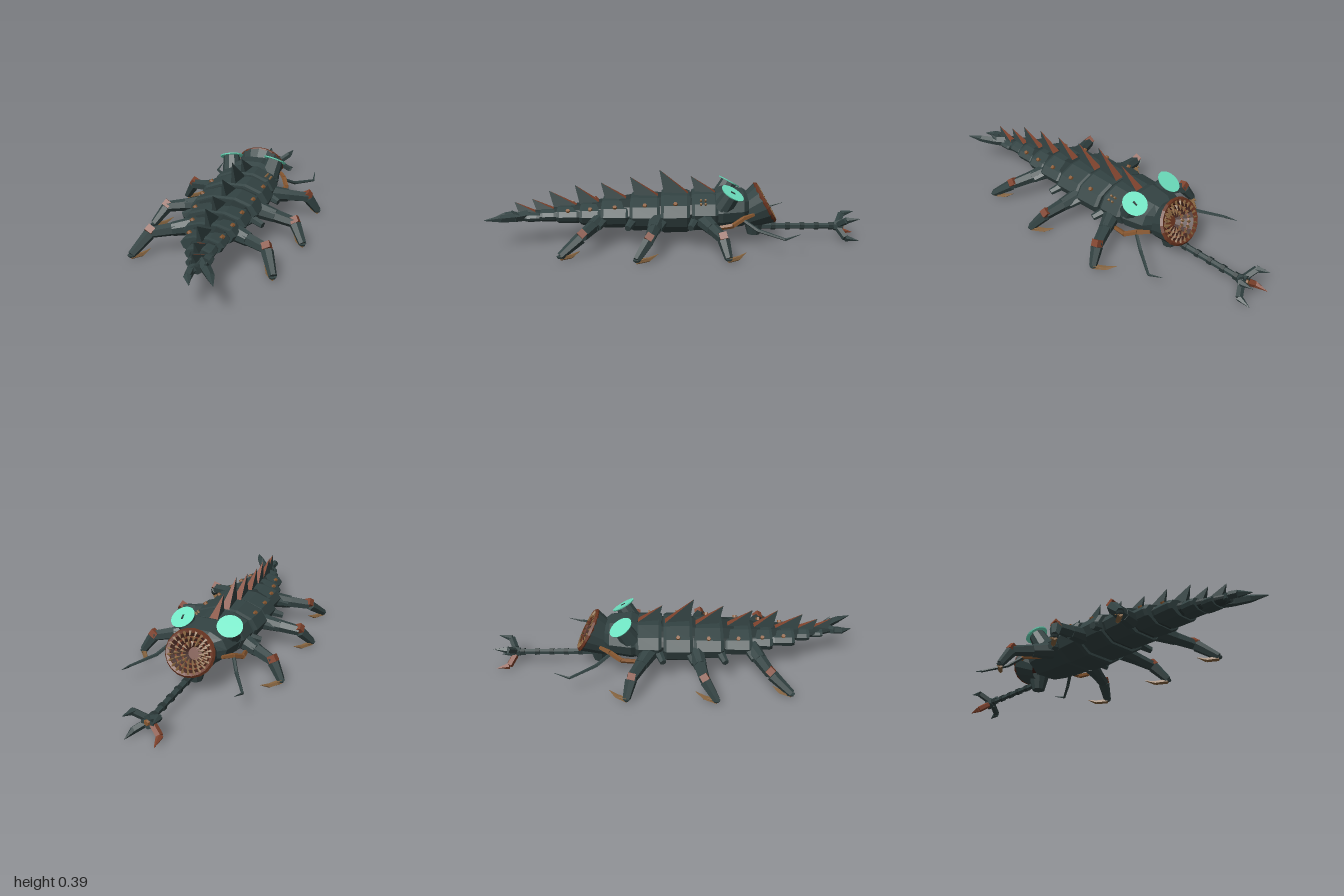
import * as THREE from 'three';

const mat = (name, color, side = THREE.FrontSide) => {
  const m = new THREE.MeshStandardMaterial({ color, flatShading: true, side });
  m.name = name;
  return m;
};
const V = (x, y, z) => new THREE.Vector3(x, y, z);

export function createModel() {
  const root = new THREE.Group();
  root.name = 'armouredCrawler';
  const shell = mat('dark slate shell', 0x334343);
  const joint = mat('deep slate joint', 0x293636);
  const copper = mat('rusty copper', 0x80432d);
  const rust = mat('dark rust', 0x67331f);
  const bronze = mat('bronze', 0x86562f);
  const tan = mat('tan horn', 0x86643f);
  const mint = mat('mint lens', 0x70e6c4);
  const throat = mat('throat brown', 0x3e211a, THREE.DoubleSide);

  const add = (name, geo, material, parent = root) => {
    const mesh = new THREE.Mesh(geo, material);
    mesh.name = name;
    parent.add(mesh);
    return mesh;
  };
  // tapered beam between two points
  const beam = (name, a, b, r1, r2, material, sides = 6, parent = root) => {
    const d = b.clone().sub(a);
    const mesh = add(name, new THREE.CylinderGeometry(r2, r1, d.length(), sides), material, parent);
    mesh.position.copy(a).addScaledVector(d, 0.5);
    mesh.quaternion.setFromUnitVectors(V(0, 1, 0), d.normalize());
    return mesh;
  };
  // chain of beams through points
  const chain = (name, pts, radii, material, sides = 5) => {
    for (let i = 0; i < pts.length - 1; i++) beam(name, pts[i], pts[i + 1], radii[i], radii[i + 1], material, sides);
  };
  // closed loft through rings that run along +z
  const loft = (rings) => {
    const p = [], n = rings[0].length;
    const tri = (a, b, c) => [a, b, c].forEach((v) => p.push(v.x, v.y, v.z));
    for (let i = 0; i < rings.length - 1; i++)
      for (let j = 0; j < n; j++) {
        const k = (j + 1) % n, r = rings[i], s = rings[i + 1];
        tri(r[j], r[k], s[k]);
        tri(r[j], s[k], s[j]);
      }
    const a = rings[0], b = rings[rings.length - 1];
    for (let j = 1; j < n - 1; j++) {
      tri(a[0], a[j + 1], a[j]);
      tri(b[0], b[j], b[j + 1]);
    }
    const g = new THREE.BufferGeometry();
    g.setAttribute('position', new THREE.Float32BufferAttribute(p, 3));
    g.computeVertexNormals();
    return g;
  };
  // faceted body cross-section
  const half = [[0.88, -0.45], [1, 0.1], [0.82, 0.66], [0.36, 1]];
  const outline = [[0.45, -1], ...half, ...half.map(([x, y]) => [-x, y]).reverse(), [-0.45, -1]];
  const ring = (cx, cy, z, w, h) => outline.map(([x, y]) => V(cx + x * w, cy + y * h, z));

  // inner core joining the plates
  add('bodyCore', loft([
    ring(0, 0.18, -0.3, 0.14, 0.085), ring(0, 0.17, 0.2, 0.16, 0.08),
    ring(0.02, 0.165, 0.45, 0.11, 0.055), ring(0.05, 0.16, 0.7, 0.055, 0.028),
    ring(0.09, 0.16, 0.87, 0.03, 0.018),
  ]), joint);

  // body plates: z start, z end, centre x, half width, bottom, top
  const plates = [
    [-0.225, -0.085, 0, 0.18, 0.075, 0.275], [-0.075, 0.08, 0, 0.195, 0.065, 0.27],
    [0.085, 0.245, 0, 0.185, 0.075, 0.255], [0.25, 0.4, 0.005, 0.165, 0.09, 0.238],
    [0.4, 0.515, 0.02, 0.138, 0.105, 0.22], [0.515, 0.64, 0.03, 0.11, 0.115, 0.205],
    [0.64, 0.73, 0.05, 0.072, 0.125, 0.192], [0.73, 0.81, 0.075, 0.06, 0.13, 0.18],
  ];
  // back fins: tip height, tip z
  const fins = [[0.36, -0.08], [0.395, 0.09], [0.355, 0.25], [0.325, 0.41],
    [0.315, 0.55], [0.285, 0.69], [0.245, 0.78], [0.235, 0.87]];
  const tris = (list) => {
    const g = new THREE.BufferGeometry().setFromPoints(list);
    g.computeVertexNormals();
    return g;
  };
  plates.forEach(([z0, z1, cx, w, lo, hi], i) => {
    const cy = (lo + hi) / 2, h = (hi - lo) / 2, e = 0.016;
    add('bodyPlate', loft([
      ring(cx, cy, z0, w * 0.91, h * 0.92), ring(cx, cy, z0 + e, w * 0.97, h * 0.98),
      ring(cx, cy, z1 - e, w, h), ring(cx, cy, z1, w * 0.93, h * 0.93),
    ]), shell);

    // fin with a copper leading face
    const [ty, tz] = fins[i], fw = i < 5 ? 0.026 : 0.021;
    const base = hi - 0.008, tip = V(cx, ty, tz);
    const l = V(cx - fw, base, z0 + 0.005), r = V(cx + fw, base, z0 + 0.005);
    const bl = V(cx - 0.014, base, tz - 0.025), br = V(cx + 0.014, base, tz - 0.025);
    add('finFace', tris([l, tip, r]), copper);
    add('finSides', tris([l, bl, tip, br, r, tip, bl, br, tip, l, r, br, l, br, bl]), shell);

    // rivets on the upper shoulders
    const rivet = (s, dx, z, radius, material) => {
      const p = V(cx + s * (w * 0.76 + dx), cy + h * 0.71 - dx * 0.75, z);
      const out = V(s * 0.6, 0.8, 0);
      beam('rivet', p.clone().addScaledVector(out, -0.012), p.addScaledVector(out, 0.01), radius * 1.2, radius, material, 6);
    };
    const zm = (z0 + z1) / 2;
    if (i > 0 && i < 6) for (const s of [-1, 1]) rivet(s, 0, zm, 0.011, bronze);
    // cluster of four bolts on the left shoulder
    if (i === 0) for (const a of [-1, 1]) for (const b of [-1, 1]) rivet(1, a * 0.01, zm + 0.01 + b * 0.012, 0.006, tan);
    // small side vents
    if (i < 4) for (const s of [-1, 1])
      beam('sideVent', V(cx + s * w * 0.85, 0.15, z1 - 0.015), V(cx + s * (w + 0.035), 0.13, z1 + 0.008), 0.024, 0.018, shell, 6);
  });

  // tail prongs
  const tail = V(0.095, 0.165, 0.8);
  chain('tailProng', [tail, V(0.07, 0.16, 0.88), V(0.076, 0.155, 0.925), V(0.105, 0.15, 0.985)], [0.026, 0.022, 0.02, 0.002], shell);
  chain('tailProng', [tail, V(0.14, 0.165, 0.86), V(0.182, 0.17, 0.925), V(0.22, 0.173, 1)], [0.03, 0.025, 0.02, 0.002], shell);
  chain('tailProng', [tail, V(0.13, 0.17, 0.84), V(0.145, 0.205, 0.87)], [0.022, 0.018, 0.002], shell);

  // head
  add('head', loft([
    ring(0, 0.185, -0.4, 0.09, 0.075), ring(0, 0.188, -0.365, 0.145, 0.092),
    ring(0, 0.185, -0.25, 0.17, 0.105), ring(0, 0.18, -0.215, 0.155, 0.095),
  ]), shell);
  const chin = add('chin', new THREE.CylinderGeometry(0.06, 0.036, 0.085, 10), shell);
  chin.position.set(0, 0.074, -0.432);

  // eyes: thin lenses overhanging squat pods
  for (const s of [-1, 1]) {
    const eye = new THREE.Group();
    eye.name = 'eye';
    eye.position.set(s * 0.132, 0.296, -0.3);
    eye.quaternion.setFromUnitVectors(V(0, 1, 0), V(s * 0.2, 0.85, -0.48).normalize());
    root.add(eye);
    add('eyePod', new THREE.CylinderGeometry(0.047, 0.056, 0.1, 10), shell, eye).position.y = -0.053;
    add('eyeLens', new THREE.CylinderGeometry(0.067, 0.064, 0.006, 24), mint, eye);
    if (s > 0) add('eyeSlit', new THREE.BoxGeometry(0.009, 0.004, 0.026), joint, eye).position.y = 0.004;
  }

  // round mouth facing forward and up, a little wider than tall
  const mouth = new THREE.Group();
  mouth.name = 'mouth';
  mouth.position.set(0, 0.211, -0.487);
  mouth.lookAt(0, 0.211 + 0.49, -0.487 - 0.87);
  mouth.scale.x = 1.1;
  root.add(mouth);
  const neck = add('mouthNeck', new THREE.CylinderGeometry(0.122, 0.085, 0.13, 16, 1, true), shell, mouth);
  neck.rotation.x = Math.PI / 2;
  neck.position.z = -0.066;
  add('mouthRim', new THREE.TorusGeometry(0.111, 0.013, 5, 20), rust, mouth);
  const funnel = add('throat', new THREE.CylinderGeometry(0.108, 0.03, 0.07, 20, 1, true), throat, mouth);
  funnel.rotation.x = Math.PI / 2;
  funnel.position.z = -0.032;
  add('gullet', new THREE.CircleGeometry(0.034, 12), rust, mouth).position.z = -0.064;
  [[0.106, 22, 0.006], [0.082, 18, -0.014], [0.058, 14, -0.034]].forEach(([r, n, z], k) => {
    add('gumRing', new THREE.TorusGeometry(r, 0.006, 4, 20), copper, mouth).position.z = z - 0.008;
    for (let i = 0; i < n; i++) {
      const a = ((i + k / 2) / n) * Math.PI * 2, c = Math.cos(a), t = Math.sin(a);
      beam('tooth', V(c * r, t * r, z), V(c * (r - 0.028), t * (r - 0.028), z + 0.01), 0.009, 0.001, tan, 4, mouth);
    }
  });

  // jointed tongue with a four-pronged grabber
  beam('tongue', V(0, 0.075, -0.4), V(0, 0.075, -0.89), 0.018, 0.015, shell);
  for (const z of [-0.54, -0.62, -0.7, -0.78, -0.86])
    beam('tongueJoint', V(0, 0.075, z + 0.012), V(0, 0.075, z - 0.012), 0.021, 0.021, joint);
  beam('grabberHub', V(0, 0.075, -0.875), V(0, 0.075, -0.92), 0.024, 0.038, shell);
  beam('grabberCore', V(0, 0.075, -0.915), V(0, 0.075, -0.93), 0.02, 0.012, bronze);
  for (const s of [-1, 1]) for (const t of [-1, 1]) {
    const p = (x, y, z) => V(s * x, 0.075 + t * y, z);
    chain('grabberProng', [p(0.015, 0.013, -0.902), p(0.066, 0.05, -0.93), p(0.076, 0.062, -1)],
      [0.019, 0.019, 0.001], s < 0 && t < 0 ? copper : shell);
  }

  // mirrored feelers and legs
  const legs = [
    [[0.14, 0.148, -0.15], [0.345, 0.115, -0.24], [0.4, 0.03, -0.265], [0.325, 0.02, -0.36]],
    [[0.15, 0.148, 0.1], [0.36, 0.115, 0.135], [0.418, 0.03, 0.195], [0.345, 0.02, 0.09]],
    [[0.1, 0.148, 0.4], [0.305, 0.115, 0.48], [0.365, 0.03, 0.585], [0.3, 0.02, 0.495]],
  ];
  for (const s of [-1, 1]) {
    const p = (x, y, z) => V(s * x, y, z);
    chain('feelerArm', [p(0.18, 0.115, -0.2), p(0.205, 0.14, -0.3), p(0.175, 0.17, -0.36), p(0.14, 0.18, -0.415)],
      [0.012, 0.014, 0.014, 0.01], bronze);
    chain('feeler', [p(0.18, 0.16, -0.36), p(0.225, 0.12, -0.43), p(0.312, 0.1, -0.56), p(0.302, 0.125, -0.64)],
      [0.01, 0.01, 0.007, 0.001], shell);
    for (const leg of legs) {
      const [hip, knee, ankle, tip] = leg.map((q) => p(...q));
      const at = (t) => hip.clone().lerp(knee, t);
      beam('hip', hip, at(0.5), 0.047, 0.036, shell, 8);
      beam('upperLeg', at(0.3), knee, 0.037, 0.029, shell);
      // copper block capping the knee
      const cap = add('kneeCap', new THREE.BoxGeometry(0.042, 0.036, 0.04), copper);
      cap.position.copy(knee).add(p(0, 0.014, 0));
      cap.quaternion.setFromUnitVectors(V(0, -1, 0), ankle.clone().sub(knee).normalize());
      beam('lowerLeg', knee.clone().lerp(ankle, 0.08), ankle, 0.032, 0.021, shell);
      // foot claws
      const heel = ankle.clone().setY(0.02);
      const mid = ankle.clone().lerp(tip, 0.55).setY(0.016);
      beam('heel', ankle, heel, 0.021, 0.016, shell);
      chain('footClaw', [heel, mid, tip.clone().add(V(0, 0.014, 0))], [0.014, 0.012, 0.001], tan);
      beam('footSpur', heel, ankle.clone().lerp(tip, 0.45).add(p(0.025, 0.008, 0)), 0.011, 0.001, tan, 5);
    }
  }
  return root;
}
